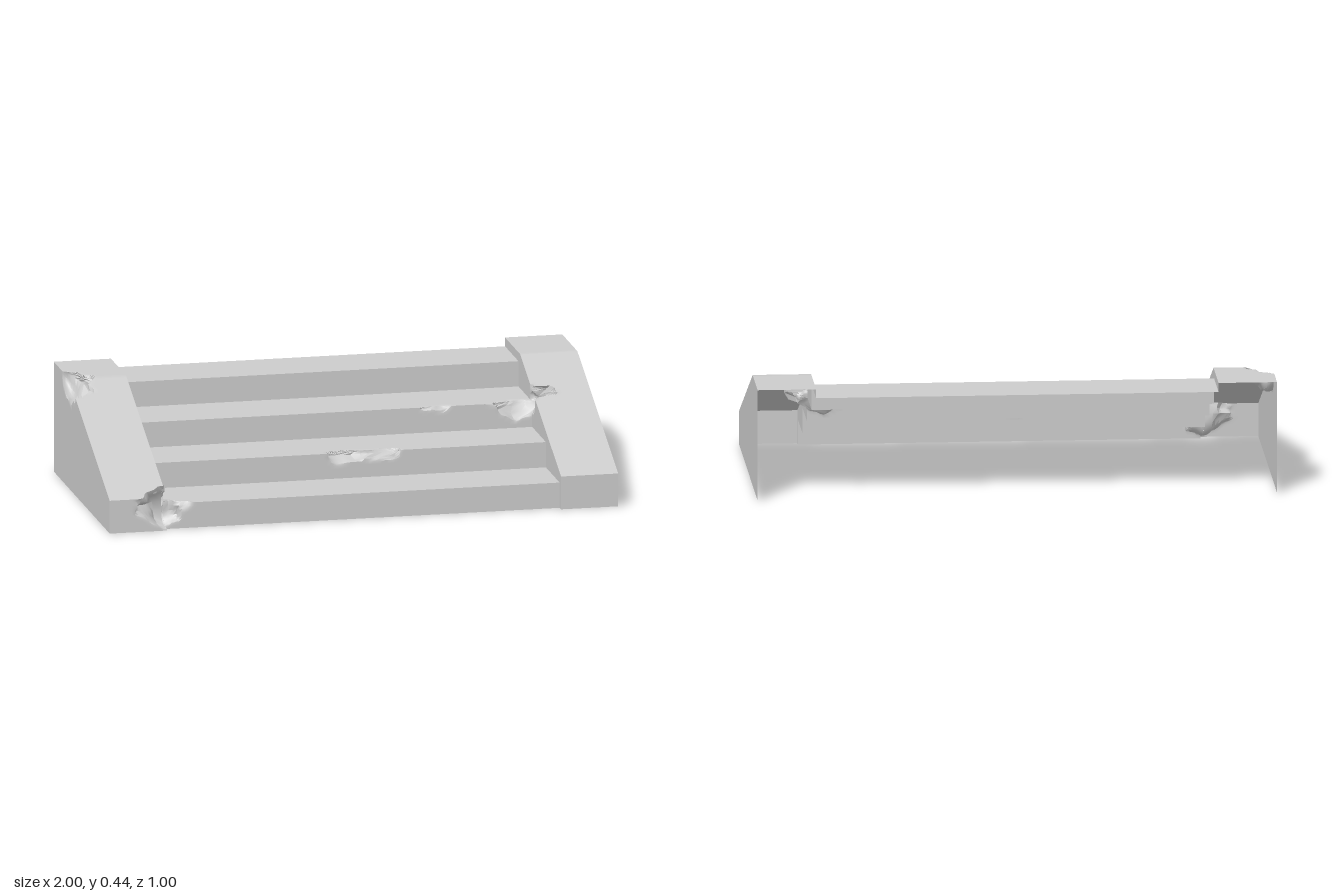
import * as THREE from 'three';
import { mergeGeometries, toCreasedNormals } from 'three/addons/utils/BufferGeometryUtils.js';

const CELL = 0.0125;
const INNER = 0.775, OUTER = 1;

// step nosings: riser z positions and tread heights
const RISERS = [0.475, 0.23, -0.015, -0.26];
const RISE = 0.1, BACK = -0.5;

// broken spots: centre just off the surface, and radii of the scoop
const CHIPS = [
  { c: [-1.03, 0.45, -0.215], r: [0.15, 0.1, 0.115] },
  { c: [-0.77, 0.09, 0.53], r: [0.16, 0.08, 0.085] },
  { c: [0.05, 0.21, 0.25], r: [0.16, 0.055, 0.065] },
  { c: [0.4, 0.31, -0.005], r: [0.075, 0.028, 0.032] },
  { c: [0.72, 0.32, -0.005], r: [0.14, 0.075, 0.052] },
].map(({ c, r }) => ({ c: new THREE.Vector3(...c), r: new THREE.Vector3(...r) }));

// push a point inside a scoop out to its rough surface; true if moved
function chip(p) {
  let moved = false;
  CHIPS.forEach(({ c, r }, i) => {
    const d = p.clone().sub(c).divide(r);
    const len = d.length();
    if (len > 1.4) return;
    d.normalize();
    const k = 1 + 0.13 * Math.sin(5 * d.x + 2 * i) + 0.08 * Math.sin(9 * d.z + 7 * d.y + i) + 0.05 * Math.sin(15 * d.x + 4 * d.y);
    if (len < k) {
      p.copy(d).multiplyScalar(k).multiply(r).add(c);
      moved = true;
    }
  });
  return moved;
}

const span = (a, b) => Math.max(...a.map((v, i) => Math.abs(v - b[i])));

// four-cornered face, finely divided only where it is chipped
function patch(a, b, c, d) {
  const corners = [a, b, c, d].map((v) => new THREE.Vector3(...v));
  const build = (nu, nv) => {
    const pos = [], index = [];
    let moved = false;
    for (let j = 0; j <= nv; j++) {
      for (let i = 0; i <= nu; i++) {
        const low = corners[0].clone().lerp(corners[1], i / nu);
        const high = corners[3].clone().lerp(corners[2], i / nu);
        const p = low.lerp(high, j / nv);
        if (chip(p)) moved = true;
        pos.push(p.x, p.y, p.z);
        if (i < nu && j < nv) {
          const k = j * (nu + 1) + i, m = k + nu + 1;
          index.push(k, k + 1, m + 1, k, m + 1, m);
        }
      }
    }
    const g = new THREE.BufferGeometry();
    g.setAttribute('position', new THREE.Float32BufferAttribute(pos, 3));
    g.setIndex(index);
    return { g, moved };
  };
  const count = (l) => Math.max(1, Math.ceil(l / CELL - 1e-6));
  const fine = build(count(Math.max(span(a, b), span(d, c))), count(Math.max(span(a, d), span(b, c))));
  return fine.moved ? fine.g : build(1, 1).g;
}

function part(name, patches) {
  const geometry = toCreasedNormals(mergeGeometries(patches).toNonIndexed(), 0.6);
  const material = new THREE.MeshStandardMaterial({ color: 0xcccccc, side: THREE.DoubleSide });
  const mesh = new THREE.Mesh(geometry, material);
  mesh.name = name;
  return mesh;
}

// risers and treads
function steps() {
  const faces = [];
  RISERS.forEach((z, i) => {
    const y0 = i * RISE, y1 = y0 + RISE, zb = RISERS[i + 1] ?? BACK;
    faces.push(patch([-INNER, y0, z], [INNER, y0, z], [INNER, y1, z], [-INNER, y1, z]));
    faces.push(patch([-INNER, y1, z], [INNER, y1, z], [INNER, y1, zb], [-INNER, y1, zb]));
  });
  return part('steps', faces);
}

// sloped side wall, open at the back and underneath
function sideWall(name, s) {
  const xi = s * INNER, xo = s * OUTER;
  const top = (z) => (z <= -0.23 ? 0.435 : 0.435 - ((z + 0.23) / 0.73) * 0.305);
  const face = (a, b, c, d) => (s > 0 ? patch(a, b, c, d) : patch(a, d, c, b));
  const faces = [face([xi, 0, 0.5], [xo, 0, 0.5], [xo, top(0.5), 0.5], [xi, top(0.5), 0.5])];
  const cuts = [0.5, ...RISERS, -0.23, BACK].sort((a, b) => b - a);
  for (let i = 0; i < cuts.length - 1; i++) {
    const f = cuts[i], b = cuts[i + 1];
    const floor = RISERS.filter((z) => z >= f).length * RISE;
    // coping, outer side, and inner side above the treads
    faces.push(face([xi, top(f), f], [xo, top(f), f], [xo, top(b), b], [xi, top(b), b]));
    faces.push(face([xo, 0, f], [xo, 0, b], [xo, top(b), b], [xo, top(f), f]));
    faces.push(face([xi, floor, b], [xi, floor, f], [xi, top(f), f], [xi, top(b), b]));
  }
  return part(name, faces);
}

export function createModel() {
  const group = new THREE.Group();
  group.name = 'stoneSteps';
  group.add(steps(), sideWall('leftWall', 1), sideWall('rightWall', -1));
  return group;
}
